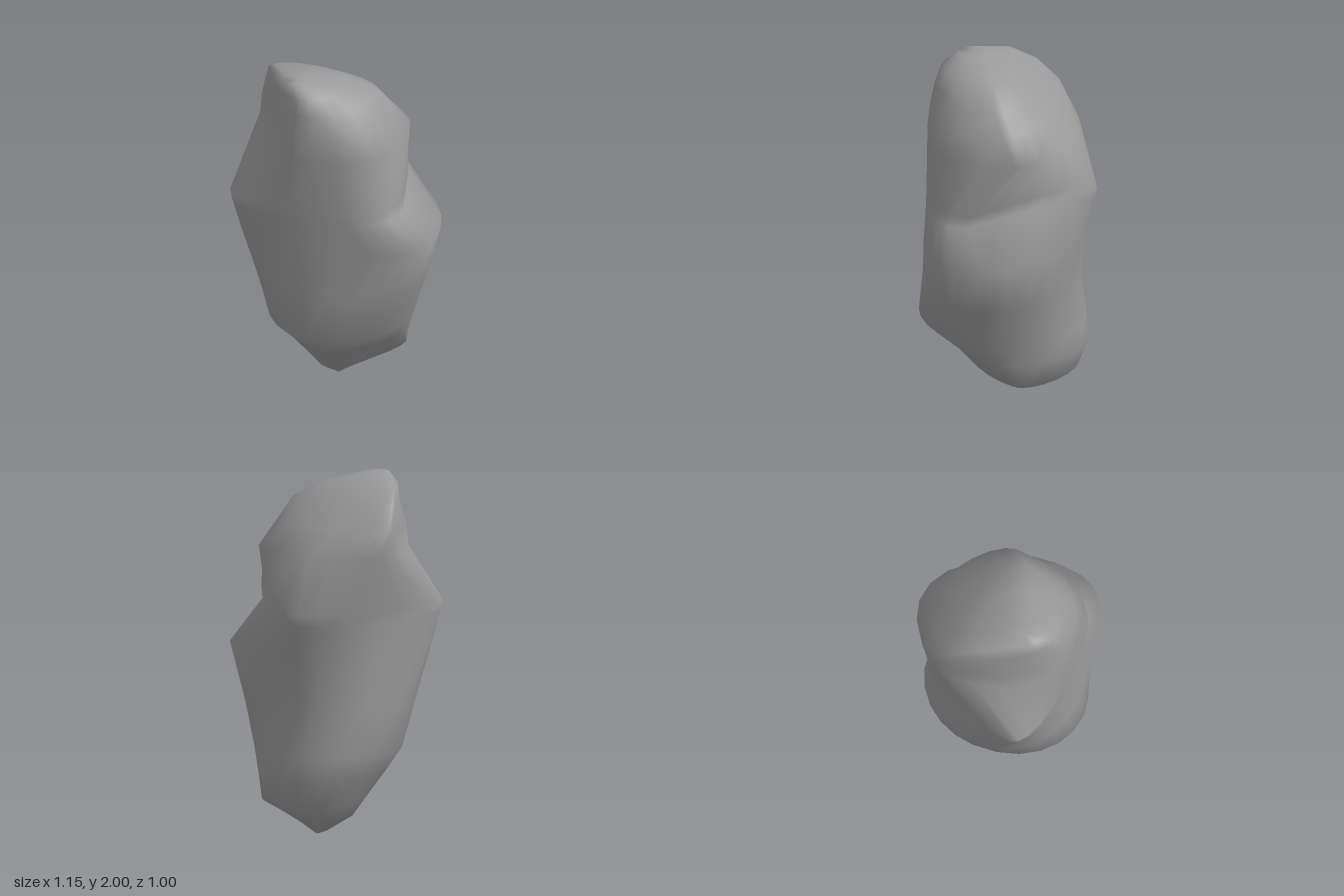
import * as THREE from 'three';

// Each level: height, then the [x, z] of its +x side, front, -x side and back extremes
const LEVELS = [
  [0.00, [0.00, -0.10], [-0.02, 0.02], [-0.04, -0.10], [-0.02, -0.21]],
  [0.08, [0.13, -0.10], [-0.02, 0.13], [-0.17, -0.08], [0.00, -0.31]],
  [0.17, [0.34, -0.10], [0.00, 0.21], [-0.23, -0.06], [0.02, -0.40]],
  [0.32, [0.38, 0.02], [0.00, 0.34], [-0.33, -0.02], [0.00, -0.45]],
  [0.46, [0.42, 0.10], [0.00, 0.50], [-0.415, 0.00], [0.00, -0.445]],
  [0.74, [0.50, 0.08], [0.00, 0.475], [-0.485, 0.05], [0.00, -0.41]],
  [1.03, [0.575, 0.08], [0.00, 0.46], [-0.54, 0.20], [0.00, -0.45]],
  [1.21, [0.39, 0.20], [-0.03, 0.455], [-0.57, 0.29], [-0.02, -0.485]],
  [1.28, [0.388, 0.17], [-0.05, 0.455], [-0.58, 0.30], [-0.02, -0.50]],
  [1.60, [0.37, -0.08], [-0.10, 0.46], [-0.48, -0.12], [-0.05, -0.40]],
  [1.74, [0.29, 0.00], [-0.11, 0.445], [-0.475, -0.14], [-0.15, -0.27]],
  [1.86, [0.22, 0.05], [-0.12, 0.42], [-0.445, -0.10], [-0.20, -0.15]],
  [1.95, [0.06, 0.12], [-0.15, 0.39], [-0.395, 0.04], [-0.24, -0.02]],
  [2.00, [-0.15, 0.22], [-0.22, 0.30], [-0.29, 0.21], [-0.21, 0.14]],
];
// Corner shape of each quarter at each level: 1 is an ellipse, lower is boxier, higher is flatter
const ROUNDNESS = [
  [1, 1.1, 1.4, 1.4, 1.2, 0.9, 0.62, 0.75, 0.75, 0.75, 0.8, 1.15, 1.1, 1], // front, +x
  [1, 1, 1, 1, 0.95, 0.9, 0.9, 0.95, 0.95, 1, 1.05, 1.2, 1.2, 1], // front, -x
  [1, 1, 1, 1.05, 1, 1.1, 1.15, 1.2, 1.2, 0.9, 0.5, 0.7, 0.9, 1], // back, -x
  [1, 1.1, 1.25, 1.05, 1, 1.05, 1, 1.05, 1.05, 1.3, 1.2, 1.1, 1, 1], // back, +x
];
const ARC = 6; // points per quarter of a level
const SIDES = ARC * 4;

// Point on the curved quarter between two neighbouring extremes
function levelPoint(i, j) {
  const [y, ...extremes] = LEVELS[i];
  const q = Math.floor(j / ARC);
  const angle = ((j % ARC) / ARC) * Math.PI / 2;
  const p = ROUNDNESS[q][i];
  const c = Math.cos(angle) ** p, s = Math.sin(angle) ** p;
  const from = extremes[q], to = extremes[(q + 1) % 4];
  // Quarters alternate between starting on a side and starting on front or back
  const mix = (a, b, startsWide) => startsWide ? b + (a - b) * c : a + (b - a) * s;
  const x = mix(from[0], to[0], q % 2 === 0);
  const z = mix(from[1], to[1], q % 2 === 1);
  // The foot of the upper part climbs as it runs round towards the back
  const lift = q === 3 ? 0.12 * Math.sin(angle * 2) * Math.exp(-(((y - 1.26) / 0.15) ** 2)) : 0;
  return [x, y + lift, z];
}

function boulderGeometry() {
  const positions = [], index = [];
  const last = LEVELS.length - 1;
  for (let i = 0; i <= last; i++)
    for (let j = 0; j < SIDES; j++) positions.push(...levelPoint(i, j));
  for (let i = 0; i < last; i++)
    for (let j = 0; j < SIDES; j++) {
      const a = i * SIDES + j, b = i * SIDES + (j + 1) % SIDES;
      index.push(a, a + SIDES, b, b, a + SIDES, b + SIDES);
    }
  // Close the bottom and top with fans
  const bottom = positions.length / 3, top = bottom + 1;
  positions.push(-0.02, 0, -0.1, -0.21, 2, 0.22);
  for (let j = 0; j < SIDES; j++) {
    const k = (j + 1) % SIDES;
    index.push(bottom, j, k, top, last * SIDES + k, last * SIDES + j);
  }
  const geometry = new THREE.BufferGeometry();
  geometry.setAttribute('position', new THREE.Float32BufferAttribute(positions, 3));
  geometry.setIndex(index);
  geometry.computeVertexNormals();
  return geometry;
}

export function createModel() {
  const group = new THREE.Group();
  group.name = 'rock';
  const boulder = new THREE.Mesh(boulderGeometry(), new THREE.MeshStandardMaterial({ color: 0x999999 }));
  boulder.name = 'boulder';
  group.add(boulder);
  return group;
}
